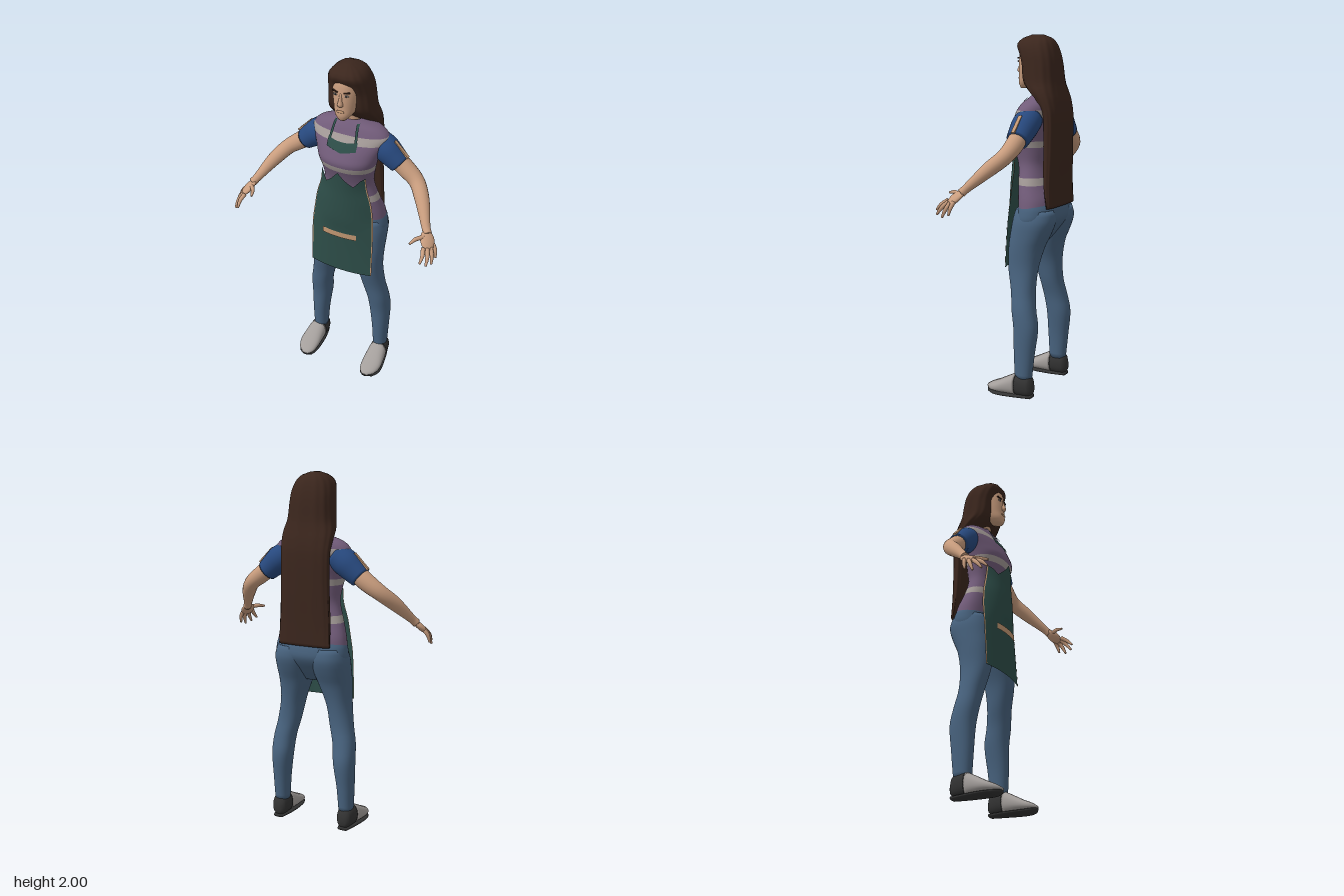
import * as THREE from 'three';

const mat = (name, color, side = THREE.FrontSide) => {
  const m = new THREE.MeshStandardMaterial({ color, side });
  m.name = name;
  return m;
};

// Smooth lookup in a table whose first column is the key
function lookup(table, y) {
  const last = table.length - 1;
  let i = 0;
  while (i < last - 1 && y > table[i + 1][0]) i++;
  const a = table[i], b = table[i + 1], p = table[Math.max(i - 1, 0)], q = table[Math.min(i + 2, last)];
  const h = b[0] - a[0], t = THREE.MathUtils.clamp((y - a[0]) / h, 0, 1), t2 = t * t, t3 = t2 * t;
  return a.slice(1).map((va, k) => {
    const c = k + 1, vb = b[c];
    const ma = (vb - p[c]) / (b[0] - p[0]) * h, mb = (q[c] - va) / (q[0] - a[0]) * h;
    return va * (2 * t3 - 3 * t2 + 1) + ma * (t3 - 2 * t2 + t) + vb * (3 * t2 - 2 * t3) + mb * (t3 - t2);
  });
}

function indexed(pos, idx) {
  const g = new THREE.BufferGeometry();
  g.setAttribute('position', new THREE.Float32BufferAttribute(pos, 3));
  g.setIndex(idx);
  g.computeVertexNormals();
  return g;
}

// Joins rings of points into a skin; ring(t, angle) gives a point, t from 0 to 1
function skin(ring, rows, seg, capped = true) {
  const pos = [], idx = [];
  for (let j = 0; j <= rows; j++)
    for (let i = 0; i < seg; i++) pos.push(...ring(j / rows, i / seg * Math.PI * 2));
  for (let j = 0; j < rows; j++)
    for (let i = 0; i < seg; i++) {
      const a = j * seg + i, b = j * seg + (i + 1) % seg;
      idx.push(a, a + seg, b, b, a + seg, b + seg);
    }
  if (capped) for (const j of [0, rows]) {
    const c = pos.length / 3, mid = [0, 0, 0];
    for (let i = 0; i < seg; i++) for (let k = 0; k < 3; k++) mid[k] += pos[(j * seg + i) * 3 + k] / seg;
    pos.push(...mid);
    for (let i = 0; i < seg; i++) {
      const a = j * seg + i, b = j * seg + (i + 1) % seg;
      j ? idx.push(c, b, a) : idx.push(c, a, b);
    }
  }
  return indexed(pos, idx);
}

// Horizontal rounded sections; table rows are [y, centreX, radiusX, zFront, zBack]
function loft(table, { from = table[0][0], to = table.at(-1)[0], n = 2.2, rows = 24, seg = 36, ripple = 0, capped = true } = {}) {
  const pw = (v) => Math.sign(v) * Math.abs(v) ** (2 / n);
  return skin((t, a) => {
    const y = from + (to - from) * t, [cx, rx, zf, zb] = lookup(table, y);
    const k = 1 + ripple * Math.cos(a * 13);
    return [cx + rx * k * pw(Math.cos(a)), y, (zf + zb) / 2 + (zf - zb) / 2 * k * pw(Math.sin(a))];
  }, rows, seg, capped);
}

// Tapered limb along a smooth path of [x, y, z, radius]
function limb(points, rows = 16, seg = 18) {
  const curve = new THREE.CatmullRomCurve3(points.map((p) => new THREE.Vector3(p[0], p[1], p[2])));
  const radii = points.map((p, i) => [i / (points.length - 1), p[3]]);
  return skin((t, a) => {
    const p = curve.getPoint(t), d = curve.getTangent(t);
    const u = new THREE.Vector3(0, 0, 1).cross(d).normalize(), w = u.clone().cross(d);
    const [r] = lookup(radii, t);
    p.addScaledVector(u, r * Math.cos(a)).addScaledVector(w, -r * Math.sin(a) * -1);
    return p.toArray();
  }, rows, seg);
}

// Open sheet from a function of u (across) and v (up)
function sheet(fn, nu = 24, nv = 20) {
  const pos = [], idx = [], w = nu + 1;
  for (let j = 0; j <= nv; j++) for (let i = 0; i <= nu; i++) pos.push(...fn(i / nu, j / nv));
  for (let j = 0; j < nv; j++) for (let i = 0; i < nu; i++) {
    const a = j * w + i;
    idx.push(a, a + 1, a + w, a + 1, a + w + 1, a + w);
  }
  return indexed(pos, idx);
}

function mirrored(geo) {
  const g = geo.clone().scale(-1, 1, 1), ix = g.index.array;
  for (let i = 0; i < ix.length; i += 3) [ix[i + 1], ix[i + 2]] = [ix[i + 2], ix[i + 1]];
  return g;
}

const ball = (x, y, z, sx, sy, sz) => new THREE.SphereGeometry(1, 18, 12).scale(sx, sy, sz).translate(x, y, z);

const TORSO = [[1.06, 0, .208, 0, -.215], [1.12, 0, .198, .005, -.205], [1.2, 0, .174, .01, -.172], [1.3, 0, .145, .02, -.152],
  [1.37, 0, .15, .042, -.16], [1.45, 0, .168, .07, -.17], [1.5, 0, .185, .055, -.18], [1.56, 0, .21, .025, -.185],
  [1.6, 0, .218, 0, -.182], [1.64, 0, .175, -.02, -.17], [1.665, 0, .1, -.035, -.15], [1.68, 0, .06, -.045, -.135]];
const PELVIS = [[.86, 0, .1, 0, -.12], [.92, 0, .175, .02, -.17], [1, 0, .212, .012, -.222], [1.06, 0, .21, .004, -.223], [1.1, 0, .197, 0, -.208]];
const LEG = [[.11, .205, .041, -.042, -.14], [.25, .203, .048, -.035, -.155], [.4, .195, .06, -.03, -.17], [.5, .187, .063, -.015, -.152],
  [.6, .165, .066, 0, -.136], [.73, .143, .07, .03, -.142], [.85, .122, .093, .035, -.168], [.92, .114, .102, .028, -.2],
  [1, .108, .106, .015, -.226], [1.06, .105, .09, 0, -.215]];
const HEAD = [[1.712, 0, .022, .038, 0], [1.74, 0, .048, .048, -.07], [1.78, 0, .065, .045, -.13], [1.83, 0, .075, .044, -.16],
  [1.88, 0, .078, .04, -.165], [1.93, 0, .07, .028, -.16], [1.97, 0, .04, -.01, -.12]];
const NOSE = [[1.793, 0, .012, .045, .015], [1.804, 0, .017, .062, .015], [1.83, 0, .011, .056, .015], [1.87, 0, .008, .042, .015]];
const HAIR = [[1.075, 0, .153, -.188, -.226], [1.2, 0, .15, -.165, -.228], [1.4, 0, .142, -.155, -.235], [1.58, 0, .142, -.15, -.235],
  [1.66, 0, .145, -.1, -.224], [1.7, 0, .143, -.055, -.214], [1.75, 0, .131, -.012, -.204], [1.85, 0, .121, .004, -.193],
  [1.9, 0, .115, .02, -.183], [1.95, 0, .098, .04, -.165], [1.983, 0, .066, .012, -.14], [2, 0, .022, -.03, -.1]];
// Shoe rows run from heel to toe: [z, centreX, halfWidth, -bottom, -top]
const SHOE = [[-.152, .208, .02, -.03, -.085], [-.135, .208, .04, -.012, -.125], [-.06, .21, .052, -.008, -.136], [0, .213, .058, -.01, -.11],
  [.06, .215, .06, -.012, -.078], [.11, .21, .046, -.014, -.055], [.137, .205, .018, -.022, -.038]];
const SOLE = [[-.145, .208, .03, 0, -.02], [-.06, .21, .05, 0, -.02], [.06, .215, .06, 0, -.02], [.12, .209, .04, -.004, -.024], [.137, .205, .015, -.012, -.026]];
// Apron rows: [y, halfWidth, zMiddle, zEdge]
const APRON = [[.73, .19, .06, .035], [1, .188, .064, .018], [1.1, .18, .074, .005], [1.2, .165, .076, 0], [1.3, .138, .075, 0], [1.42, .13, .08, .01]];
const APRON_TOP = [[0, 1.412], [.3, 1.365], [.6, 1.325], [.85, 1.36], [1, 1.37]];

function torsoFront(x, y) {
  const [, rx, zf, zb] = lookup(TORSO, y);
  const s = Math.max(0, 1 - Math.abs(x / rx) ** 2.2) ** (1 / 2.2);
  return (zf + zb) / 2 + (zf - zb) / 2 * s;
}
function apronPoint(u, y, lift = 0) {
  const [hw, zm, ze] = lookup(APRON, y), x = hw * u;
  let z = zm - (zm - ze) * Math.abs(u) ** 2.2;
  if (y > 1.08) z = Math.max(z, torsoFront(x, y) + .007);
  return [x * (1 + lift / .2), y, z + lift];
}

export function createModel() {
  const root = new THREE.Group();
  root.name = 'woman in apron';
  const skinM = mat('skin', 0xc99d7e), hair = mat('dark brown hair', 0x3b261d), purple = mat('purple cloth', 0x725c7a),
    grey = mat('pale stripe', 0xa39a97), blue = mat('blue cloth', 0x284a80), denim = mat('denim', 0x48637f),
    green = mat('apron green', 0x2d4d48, THREE.DoubleSide), trim = mat('tan trim', 0xc39873, THREE.DoubleSide),
    shoeM = mat('shoe grey', 0xa39e9b), dark = mat('charcoal', 0x333333);
  const add = (name, geo, material) => {
    const m = new THREE.Mesh(geo, material);
    m.name = name;
    root.add(m);
  };
  const pair = (name, geo, material) => {
    add(name + 'Left', geo, material);
    add(name + 'Right', mirrored(geo), material);
  };

  // Striped shirt, as bands of one body shape
  [[1.06, 1.195, purple], [1.195, 1.235, grey], [1.235, 1.4, purple], [1.4, 1.435, grey], [1.435, 1.565, purple],
    [1.565, 1.605, grey], [1.605, 1.68, purple]].forEach(([from, to, m], i) =>
    add('shirtBand' + (i + 1), loft(TORSO, { from, to, rows: 10, seg: 48, capped: false }), m));

  // Jeans
  add('hips', loft(PELVIS, { seg: 48 }), denim);
  pair('trouserLeg', loft(LEG, { rows: 36 }), denim);

  // Shoes
  const shoe = (table, opt) => loft(table, { n: 2.3, rows: 14, ...opt }).rotateX(Math.PI / 2);
  pair('shoeHeel', shoe(SHOE, { to: -.055 }), dark);
  pair('shoeUpper', shoe(SHOE, { from: -.055 }), shoeM);
  pair('shoeSole', shoe(SOLE, { n: 3 }), dark);

  // Sleeves, arms and hands
  pair('sleeve', limb([[.14, 1.565, -.1, .07], [.2, 1.525, -.1, .075], [.245, 1.487, -.1, .068], [.285, 1.453, -.1, .06]], 14, 24), blue);
  pair('sleeveStripe', new THREE.BoxGeometry(.115, .009, .02).rotateZ(-.8).translate(.289, 1.54, -.1), trim);
  pair('arm', limb([[.25, 1.485, -.1, .05], [.32, 1.43, -.1, .049], [.39, 1.378, -.085, .043], [.45, 1.315, -.025, .039],
    [.515, 1.222, .066, .024], [.535, 1.195, .09, .024]], 28), skinM);
  const along = new THREE.Vector3(.053, -.075, .078).normalize(), across = new THREE.Vector3(.033, 0, -.057);
  across.addScaledVector(along, -across.dot(along)).normalize();
  const palm = new THREE.Matrix4().makeBasis(along, across, along.clone().cross(across)).setPosition(.547, 1.172, .115);
  pair('palm', ball(0, 0, 0, .058, .041, .018).applyMatrix4(palm), skinM);
  [[.545, 1.155, .165, .555, 1.1, .232], [.562, 1.15, .152, .582, 1.08, .213], [.573, 1.148, .132, .597, 1.07, .17],
    [.576, 1.155, .108, .602, 1.085, .126], [.528, 1.19, .115, .48, 1.183, .198]].forEach(([x, y, z, tx, ty, tz], i) =>
    pair(i < 4 ? 'finger' + (i + 1) : 'thumb', limb([[x, y, z, .012],
      [(x + tx) / 2 + (i < 4 ? .006 : -.008), (y + ty) / 2 + .004, (z + tz) / 2, .011], [tx, ty, tz, .006]], 8, 10), skinM));

  // Neck, head and face
  add('neck', loft([[1.62, 0, .056, -.05, -.14], [1.7, 0, .048, -.048, -.14], [1.77, 0, .052, -.03, -.14]]), skinM);
  add('head', loft(HEAD), skinM);
  add('nose', loft(NOSE, { rows: 10, seg: 16 }), skinM);
  pair('eyeWhite', ball(.031, 1.859, .036, .014, .0055, .005), grey);
  pair('iris', ball(.031, 1.859, .039, .005, .0055, .004), dark);
  pair('eyebrow', new THREE.BoxGeometry(.034, .006, .009).rotateY(.25).rotateZ(.12).translate(.033, 1.876, .036), hair);
  add('lips', ball(0, 1.767, .045, .023, .007, .006), trim);

  // Long hair, falling behind the shoulders
  add('hair', loft(HAIR, { n: 2.7, rows: 60, seg: 104, ripple: .012 }), hair);

  // Apron skirt with its pointed top, edge trim and pocket band
  const topAt = (u) => {
    const a = Math.abs(u), i = Math.max(1, APRON_TOP.findIndex((p) => p[0] >= a));
    const [p, q] = [APRON_TOP[i - 1], APRON_TOP[i]];
    return p[1] + (q[1] - p[1]) * (a - p[0]) / (q[0] - p[0]);
  };
  add('apronSkirt', sheet((s, v) => {
    const u = s * 2 - 1;
    return apronPoint(u, .73 + (topAt(u) - .73) * v);
  }, 40, 30), green);
  pair('apronEdge', sheet((s, v) => apronPoint(.965 + s * .035, .735 + .63 * v, .002), 2, 30), trim);
  add('pocketBand', sheet((s, v) => apronPoint((s - .5) * 1.08, .972 + .036 * v, .006), 20, 2), trim);

  // Apron bib and neck straps, lying on the chest
  add('apronBib', sheet((s, v) => {
    const u = s * 2 - 1, x = u * .086, low = 1.52 + .018 * Math.abs(u), y = low + (1.572 + .012 * u * u - low) * v;
    return [x, y, torsoFront(x, y) + .007];
  }, 20, 8), green);
  pair('apronStrap', sheet((s, v) => {
    const x = .084 - .012 * v - .014 * (1 - s), y = 1.57 + .098 * v;
    return [x, y, torsoFront(x, y) + .01];
  }, 3, 14), green);
  return root;
}
